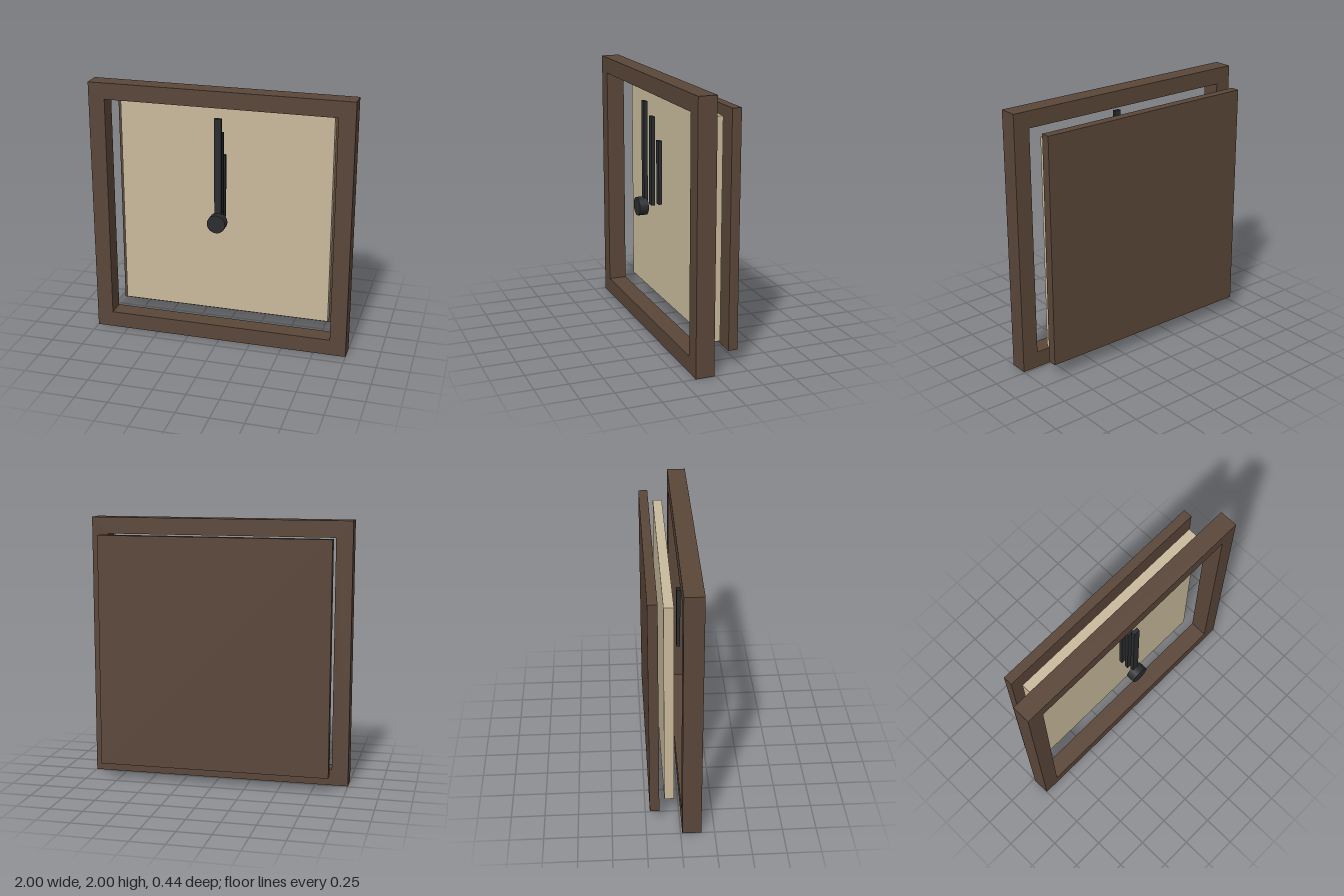
import * as THREE from 'three';

export function createModel() {
  const group = new THREE.Group();
  const mat = (name, color) => Object.assign(new THREE.MeshStandardMaterial({ color }), { name });
  const wood = mat('darkWood', 0x5a4639);
  const cream = mat('cream', 0xc9ba9c);
  const black = mat('blackMetal', 0x2a2c2e);

  const add = (name, geometry, material, x, y, z) => {
    const mesh = new THREE.Mesh(geometry, material);
    mesh.name = name;
    mesh.position.set(x, y, z);
    group.add(mesh);
  };

  // Square frame with a square opening
  const square = (Path, h) => new Path([[-h, -h], [h, -h], [h, h], [-h, h]].map(([x, y]) => new THREE.Vector2(x, y)));
  const outline = square(THREE.Shape, 1);
  outline.holes.push(square(THREE.Path, 0.875));
  add('frame', new THREE.ExtrudeGeometry(outline, { depth: 0.14, bevelEnabled: false }), wood, 0, 1, 0.012);

  // Dial and back panel, spaced out behind the frame
  add('dial', new THREE.BoxGeometry(1.64, 1.64, 0.07), cream, 0, 1, -0.075);
  add('backPanel', new THREE.BoxGeometry(1.76, 1.76, 0.07), wood, 0, 1, -0.185);

  // Three hands stacked from back to front, all starting at the centre
  [['shortHand', 0.49, 0.04], ['middleHand', 0.68, 0.098], ['longHand', 0.8, 0.156]].forEach(([name, length, z]) =>
    add(name, new THREE.BoxGeometry(0.052, length, 0.028), black, 0, 1 + length / 2, z));

  // Centre cap
  add('centreCap', new THREE.CylinderGeometry(0.07, 0.07, 0.07, 24).rotateX(Math.PI / 2), black, 0, 1, 0.185);

  return group;
}
